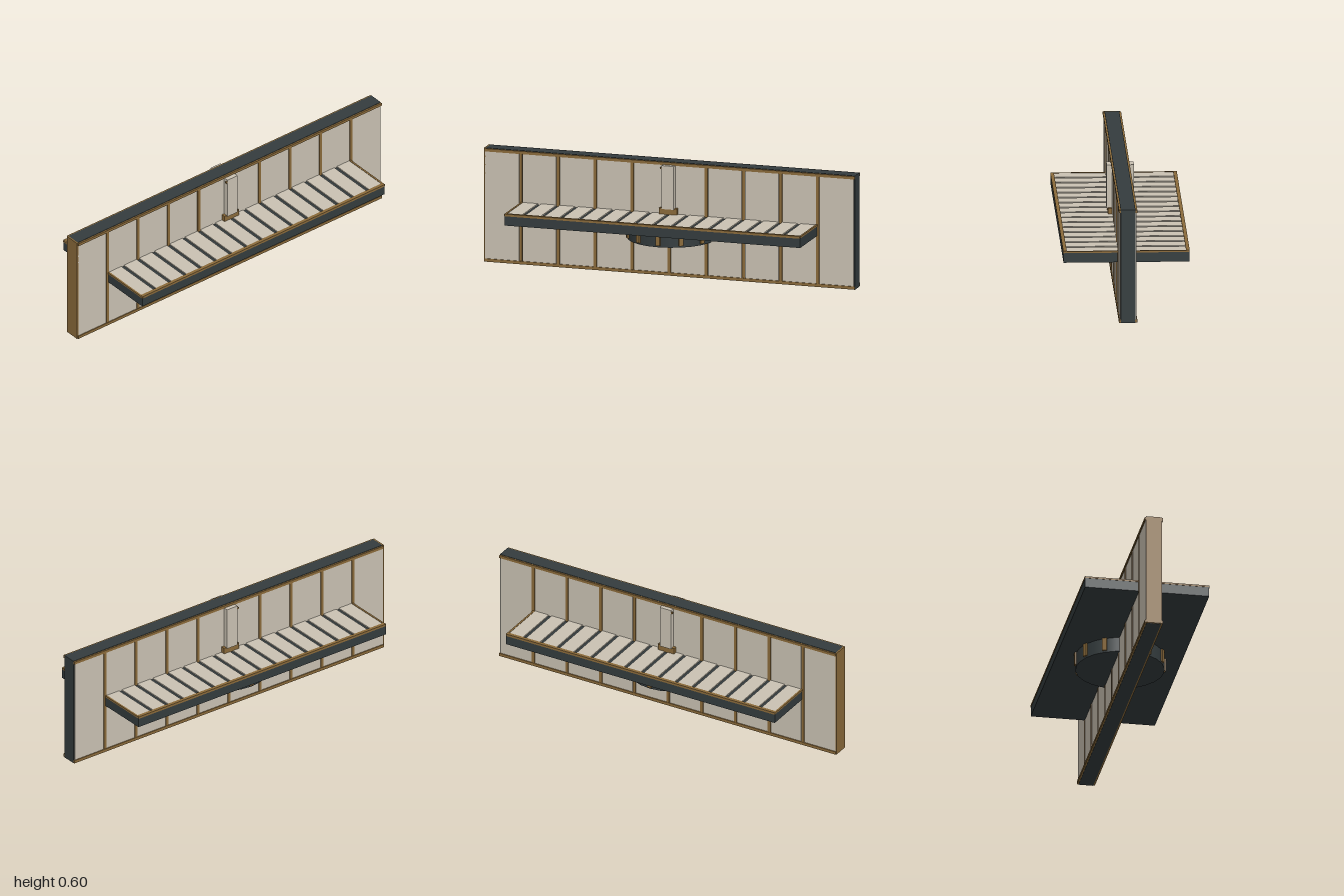
import * as THREE from 'three';

export function createModel() {
  const model = new THREE.Group();
  const material = (name, color) => {
    const m = new THREE.MeshStandardMaterial({ color });
    m.name = name;
    return m;
  };
  const dark = material('dark slate', 0x343c3e);
  const brass = material('aged brass', 0x8a6a3a);
  const pale = material('pale stone', 0xcac2b3);

  // Box given by its minimum and maximum on each axis
  function box(name, mat, [x0, x1], [y0, y1], [z0, z1], parent = model) {
    const mesh = new THREE.Mesh(new THREE.BoxGeometry(x1 - x0, y1 - y0, z1 - z0), mat);
    mesh.position.set((x0 + x1) / 2, (y0 + y1) / 2, (z0 + z1) / 2);
    mesh.name = name;
    parent.add(mesh);
    return mesh;
  }
  // Box on the left side together with its mirror on the right side
  function pair(name, mat, [x0, x1], y, z, parent = model) {
    box(name + 'Left', mat, [x0, x1], y, z, parent);
    box(name + 'Right', mat, [-x1, -x0], y, z, parent);
  }
  function group(name) {
    const g = new THREE.Group();
    g.name = name;
    model.add(g);
    return g;
  }

  // Upright wall: core, front cap, long rails
  const wall = group('wall');
  box('wallCore', dark, [-0.038, 0.038], [0, 0.6], [-1, 0.992], wall);
  box('frontCap', brass, [-0.042, 0.042], [0.001, 0.6], [0.992, 1], wall);
  pair('topRail', brass, [0.036, 0.047], [0.583, 0.598], [-1, 0.995], wall);
  pair('bottomRail', brass, [0.036, 0.047], [0.002, 0.018], [-1, 0.995], wall);

  // Ten side panels separated by ribs
  for (let i = 0; i < 10; i++) {
    const z = -1 + i * 0.2;
    pair('wallPanel', pale, [0.036, 0.042], [0.016, 0.585],
      [z + (i ? 0.01 : 0.006), z + (i < 9 ? 0.19 : 0.193)], wall);
    if (i) pair('wallRib', brass, [0.036, 0.045], [0.016, 0.585], [z - 0.008, z + 0.008], wall);
  }

  // Deck with brass edging
  const deck = group('deck');
  box('deckSlab', dark, [-0.323, 0.323], [0.27, 0.322], [-0.797, 0.797], deck);
  pair('deckSideRail', brass, [0.306, 0.3245], [0.319, 0.331], [-0.795, 0.795], deck);
  for (const s of [-1, 1])
    box('deckEndRail', brass, [-0.323, 0.323], [0.321, 0.33], [s * 0.794 - 0.005, s * 0.794 + 0.005], deck);

  // Planks on both sides of the wall
  for (let i = 0; i < 16; i++) {
    const z = -0.75 + i * 0.1;
    pair('plank', pale, [0.038, 0.306], [0.32, 0.328],
      [z - (i ? 0.041 : 0.04), z + 0.041], deck);
  }

  // Drum under the deck with twelve ribs
  const drum = group('drum');
  const body = new THREE.Mesh(new THREE.CylinderGeometry(0.229, 0.229, 0.08, 24), dark);
  body.position.y = 0.233;
  body.name = 'drumBody';
  drum.add(body);
  for (let i = 0; i < 12; i++) {
    const a = (i * Math.PI) / 6;
    const rib = new THREE.Mesh(new THREE.BoxGeometry(0.024, 0.069, 0.014), brass);
    rib.position.set(0.23 * Math.sin(a), 0.2365, 0.23 * Math.cos(a));
    rib.rotation.y = a;
    rib.name = 'drumRib';
    drum.add(rib);
  }

  // Pillars standing against the wall
  const pillars = group('pillars');
  pair('pillarFoot', brass, [0.038, 0.064], [0.326, 0.36], [-0.048, 0.048], pillars);
  pair('pillar', pale, [0.04, 0.07], [0.356, 0.585], [-0.033, 0.033], pillars);
  pair('pillarPin', brass, [0.061, 0.07], [0.566, 0.575], [0.03, 0.042], pillars);

  return model;
}
